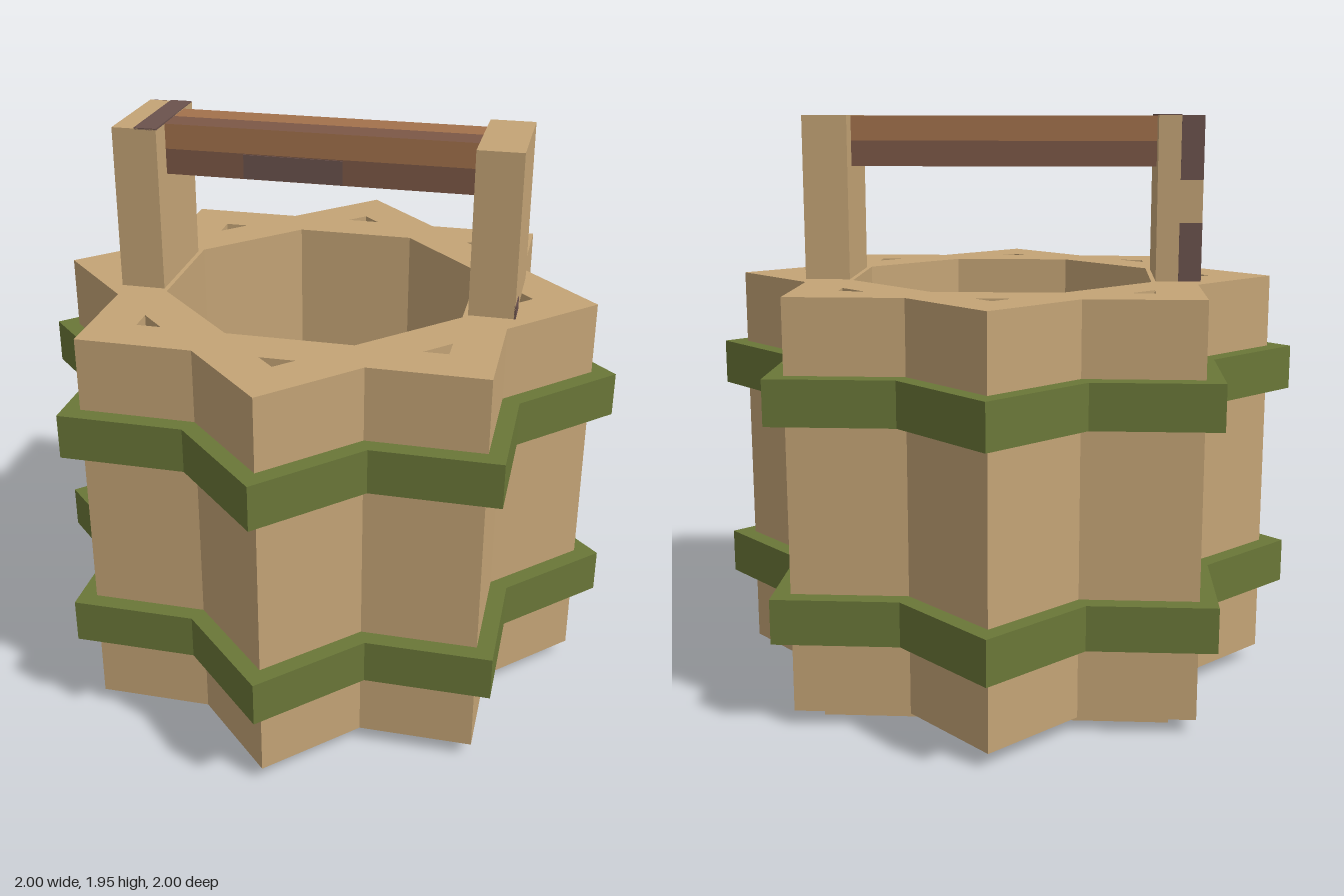
import * as THREE from 'three';

const mat = (name, color) => {
  const m = new THREE.MeshStandardMaterial({ color });
  m.name = name;
  return m;
};

// Eight-pointed star made of two crossed squares of the given half side
function starPoints(half) {
  const pts = [];
  for (let i = 0; i < 16; i++) {
    const a = (i * Math.PI) / 8;
    const r = i % 2 ? half / Math.cos(Math.PI / 8) : half * Math.SQRT2;
    pts.push(new THREE.Vector2(Math.cos(a) * r, Math.sin(a) * r));
  }
  return pts;
}

// Regular octagon whose sides lie at the given distance from the centre
function octagonPath(apothem) {
  const pts = [];
  for (let i = 0; i < 8; i++) {
    const a = ((i + 0.5) * Math.PI) / 4;
    const r = apothem / Math.cos(Math.PI / 8);
    pts.push(new THREE.Vector2(Math.cos(a) * r, Math.sin(a) * r));
  }
  return new THREE.Path(pts);
}

// Upright prism from y0 to y1
function prism(shape, y0, y1) {
  const g = new THREE.ExtrudeGeometry(shape, { depth: y1 - y0, bevelEnabled: false });
  g.rotateX(-Math.PI / 2);
  g.translate(0, y0, 0);
  return g;
}

export function createModel() {
  const wood = mat('pale wood', 0xc4a476);
  const green = mat('green band', 0x6a7738);
  const brown = mat('handle brown', 0xa3714c);
  const dark = mat('handle dark brown', 0x7c5846);
  const stain = mat('purple brown', 0x6b524d);

  const model = new THREE.Group();
  model.name = 'bucket';

  const add = (name, geometry, material) => {
    const mesh = new THREE.Mesh(geometry, material);
    mesh.name = name;
    model.add(mesh);
  };
  // Box given by its limits on each axis
  const box = (name, x0, x1, y0, y1, z0, z1, material) => {
    const g = new THREE.BoxGeometry(x1 - x0, y1 - y0, z1 - z0);
    g.translate((x0 + x1) / 2, (y0 + y1) / 2, (z0 + z1) / 2);
    add(name, g, material);
  };

  // Staved wall: octagonal opening and a small triangular gap in each point
  const wall = new THREE.Shape(starPoints(0.65));
  wall.holes.push(octagonPath(0.5));
  for (let i = 0; i < 8; i++) {
    const a = (i * Math.PI) / 4;
    const w = 0.5 * Math.SQRT2 - 0.65;
    const corners = [[0.65, -w], [0.65 + w, 0], [0.65, w]].map(
      ([x, y]) => new THREE.Vector2(x, y).rotateAround(new THREE.Vector2(), a));
    wall.holes.push(new THREE.Path(corners));
  }
  add('wall', prism(wall, 0.05, 1.405), wood);

  // Floor, standing slightly proud below the wall
  add('floor', prism(new THREE.Shape(starPoints(0.567)), 0, 0.1), wood);

  // Two hoops
  for (const [name, y] of [['lowerBand', 0.3], ['upperBand', 1.01]]) {
    const ring = new THREE.Shape(starPoints(Math.SQRT1_2));
    ring.holes.push(octagonPath(0.64));
    add(name, prism(ring, y, y + 0.15), green);
  }

  // Handle posts
  box('leftPost', 0.515, 0.665, 1.4, 1.95, -0.186, 0.186, wood);
  box('rightPost', -0.665, -0.515, 1.4, 1.95, -0.186, 0.186, wood);

  // Grip: dark underside, lighter upper half with a dark front top
  box('gripLower', -0.515, 0.515, 1.78, 1.865, -0.1, 0.1, dark);
  box('gripUpperBack', -0.515, 0.515, 1.865, 1.948, -0.1, 0, brown);
  box('gripUpperFront', -0.515, 0.515, 1.865, 1.948, 0, 0.1,
    [brown, brown, dark, brown, brown, brown]);

  // Worn patches as thin plates
  const t = 0.003;
  box('gripPatch', -0.25, 0.08, 1.782, 1.862, 0.1 - t, 0.1 + t, stain);
  box('postTopPatch', -0.59, -0.515, 1.95 - t, 1.95 + t, -0.186, 0.186, stain);
  box('postFootPatch', 0.665 - t, 0.665 + t, 1.405, 1.45, 0.1, 0.186, stain);
  for (const [y0, y1] of [[1.405, 1.6], [1.74, 1.95]])
    box('postBackPatch', -0.665, -0.59, y0, y1, -0.186 - t, -0.186 + t, stain);

  return model;
}
